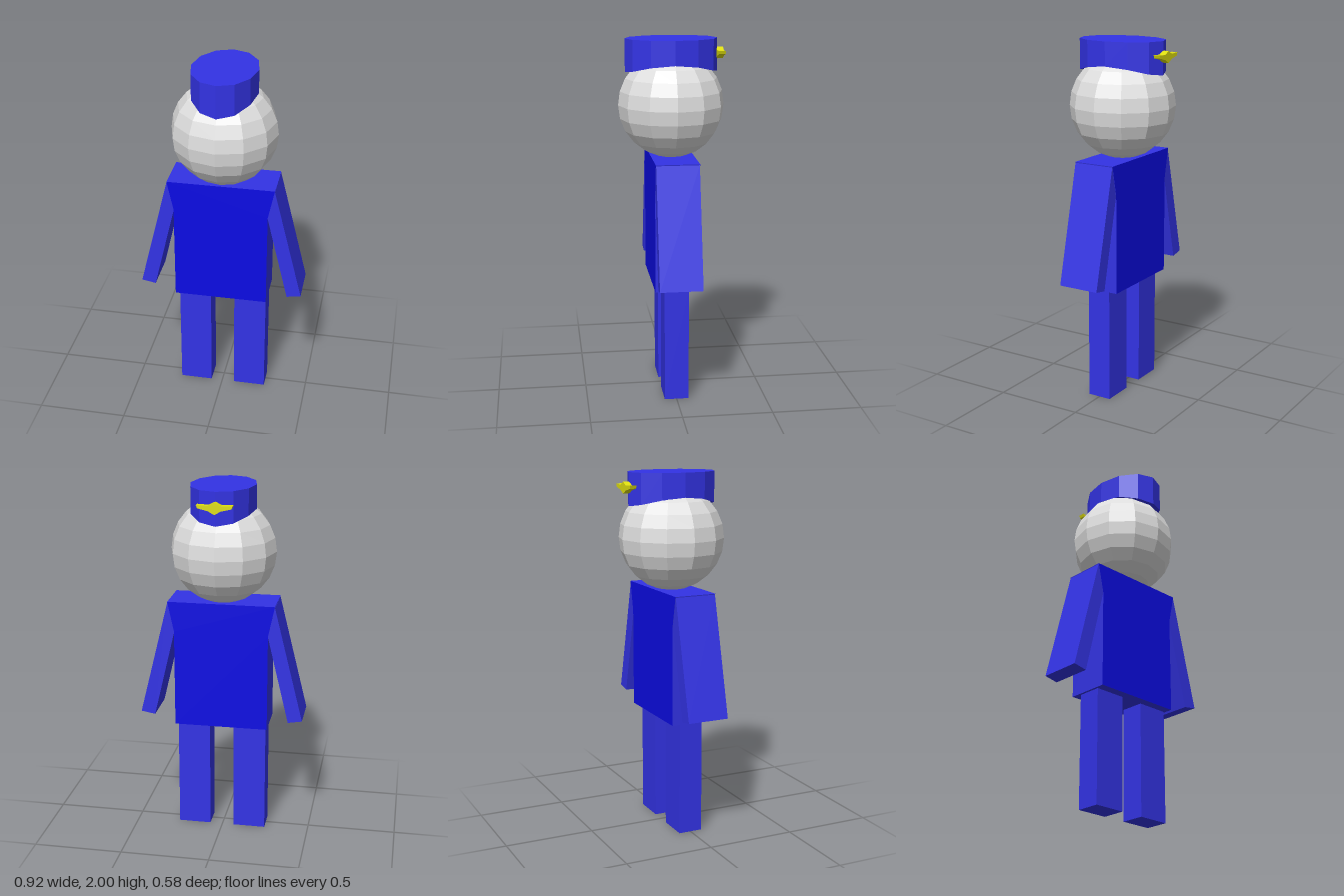
import * as THREE from 'three';

const flat = (name, color) => {
  const m = new THREE.MeshStandardMaterial({ color });
  m.name = name;
  m.flatShading = true;
  return m;
};

export function createModel() {
  const blue = flat('uniform blue', 0x3333e5);
  const deepBlue = flat('deep blue', 0x0b0be4);
  const grey = flat('head grey', 0xdedede);
  const yellow = flat('badge yellow', 0xdede10);

  const model = new THREE.Group();
  model.name = 'figure';
  const add = (name, geometry, material, x = 0, y = 0, z = 0) => {
    const mesh = new THREE.Mesh(geometry, material);
    mesh.name = name;
    mesh.position.set(x, y, z);
    model.add(mesh);
    return mesh;
  };
  // Prism from an outline in x and y, centred on z = 0
  const prism = (points, depth) => {
    const shape = new THREE.Shape(points.map(([x, y]) => new THREE.Vector2(x, y)));
    return new THREE.ExtrudeGeometry(shape, { depth, bevelEnabled: false }).translate(0, 0, -depth / 2);
  };

  // Torso: deep blue front and back, lighter edges
  add('torso', prism([
    [-0.262, 0.64], [0.262, 0.64], [0.262, 1.19], [0.298, 1.36], [-0.298, 1.36], [-0.262, 1.19],
  ], 0.238), [deepBlue, blue]);

  // Arms and legs
  for (const [side, s] of [['left', 1], ['right', -1]]) {
    const arm = [[0.38, 0.69], [0.459, 0.704], [0.298, 1.355], [0.225, 1.34]].map(([x, y]) => [s * x, y]);
    add(side + 'Arm', prism(arm, 0.234), blue);
    add(side + 'Leg', new THREE.BoxGeometry(0.183, 0.64, 0.135), blue, s * 0.16 + 0.003, 0.32, 0);
  }

  // Head
  add('head', new THREE.SphereGeometry(0.292, 12, 12), grey, 0.003, 1.638, 0);

  // Oval cap whose lower rim arches up at the sides
  const cap = new THREE.CylinderGeometry(1, 1, 1, 12);
  const pos = cap.attributes.position;
  for (let i = 0; i < pos.count; i++) {
    const x = pos.getX(i), z = pos.getZ(i);
    const rim = 1.868 - 0.05 * z * z;
    pos.setXYZ(i, x * 0.18 + 0.004, pos.getY(i) > 0 ? 2 : rim, z * 0.253);
  }
  cap.computeVertexNormals();
  add('cap', cap, blue);

  // Winged badge on the back of the cap
  add('badge', prism([
    [-0.096, 1.935], [-0.09, 1.918], [-0.035, 1.905], [0, 1.886], [0.035, 1.905],
    [0.09, 1.918], [0.096, 1.935], [0.035, 1.932], [0, 1.95], [-0.035, 1.932],
  ], 0.036), yellow, 0.003, 0, -0.267);

  return model;
}
